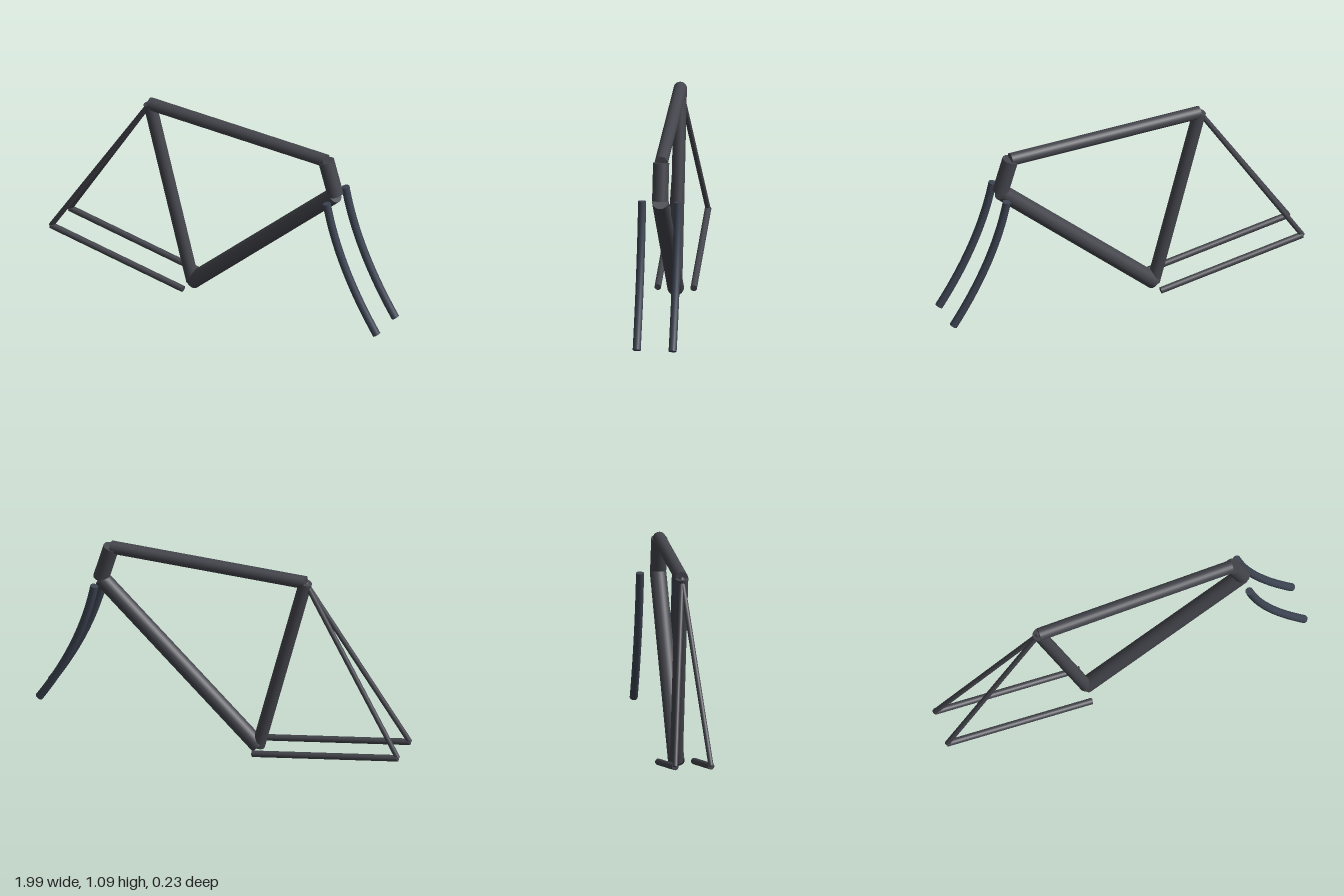
import * as THREE from 'three';

const frameMat = new THREE.MeshStandardMaterial({ color: 0x45464d });
const forkMat = new THREE.MeshStandardMaterial({ color: 0x3d4452 });
const V = (x, y, z = 0) => new THREE.Vector3(x, y, z);

// Straight capped tube between two points
function tube(name, a, b, radius) {
  const dir = b.clone().sub(a);
  const mesh = new THREE.Mesh(new THREE.CylinderGeometry(radius, radius, dir.length(), 24), frameMat);
  mesh.name = name;
  mesh.position.copy(a).add(b).multiplyScalar(0.5);
  mesh.quaternion.setFromUnitVectors(V(0, 1), dir.normalize());
  return mesh;
}

// Curved fork blade with closed ends
function forkBlade(name, z) {
  const group = new THREE.Group();
  group.name = name;
  const radius = 0.021;
  const curve = new THREE.QuadraticBezierCurve3(V(0.675, 0.862, z), V(0.742, 0.505, z), V(0.976, 0.154, z));
  group.add(new THREE.Mesh(new THREE.TubeGeometry(curve, 32, radius, 20), forkMat));
  for (const t of [0, 1]) {
    const cap = new THREE.Mesh(new THREE.CircleGeometry(radius, 20), forkMat);
    cap.position.copy(curve.getPoint(t));
    cap.quaternion.setFromUnitVectors(V(0, 0, 1), curve.getTangent(t).multiplyScalar(t ? 1 : -1));
    group.add(cap);
  }
  group.children.forEach((m) => { m.name = name; });
  return group;
}

export function createModel() {
  const model = new THREE.Group();
  model.name = 'bicycleFrame';

  // Shared joints of the frame
  const seatTop = V(-0.448, 1.041);
  const bottomBracket = V(-0.19, 0.033);
  const headTop = V(0.615, 1.054);
  const headBottom = V(0.671, 0.864);

  // Main triangle
  model.add(
    tube('topTube', seatTop, headTop, 0.034),
    tube('seatTube', bottomBracket, seatTop, 0.034),
    tube('downTube', bottomBracket, V(0.667, 0.861), 0.043),
    tube('headTube', headBottom, headTop, 0.042),
  );

  // Stays and fork blades, mirrored about the centre plane
  for (const [side, s] of [['front', 1], ['back', -1]]) {
    const z = 0.093 * s;
    const axle = V(-0.986, 0.154, z);
    model.add(
      tube(side + 'ChainStay', axle, V(bottomBracket.x, bottomBracket.y, z), 0.017),
      tube(side + 'SeatStay', axle, seatTop, 0.0135),
      forkBlade(side + 'ForkBlade', z),
    );
  }
  return model;
}
